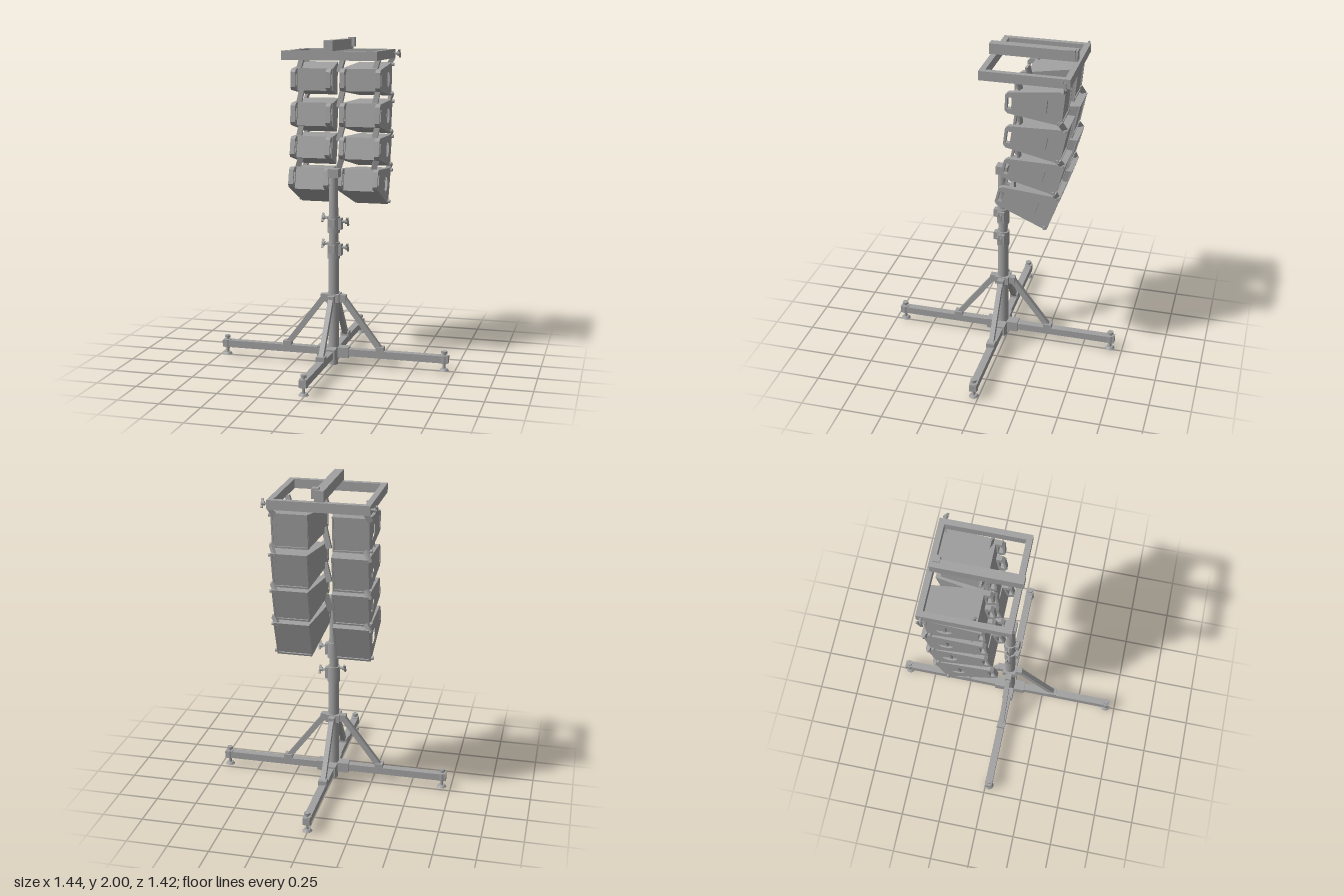
import * as THREE from 'three';

const metal = new THREE.MeshStandardMaterial({ color: 0xa0a0a0 });
metal.name = 'grey metal';

function add(parent, name, geo, x = 0, y = 0, z = 0) {
  const m = new THREE.Mesh(geo, metal);
  m.name = name;
  m.position.set(x, y, z);
  parent.add(m);
  return m;
}
// Box given by its minimum and maximum corners
function span(parent, name, a, b) {
  return add(parent, name, new THREE.BoxGeometry(b[0] - a[0], b[1] - a[1], b[2] - a[2]),
    (a[0] + b[0]) / 2, (a[1] + b[1]) / 2, (a[2] + b[2]) / 2);
}
const cyl = (r, h, n = 12, r2 = r) => new THREE.CylinderGeometry(r, r2, h, n);

// Square bar between two points
function bar(parent, name, a, b, w, d) {
  const p = new THREE.Vector3(...a), q = new THREE.Vector3(...b);
  const m = add(parent, name, new THREE.BoxGeometry(w, d, p.distanceTo(q)));
  m.position.copy(p).add(q).multiplyScalar(0.5);
  m.lookAt(q);
  return m;
}

// Wing knob on a short screw pointing along +x or -x
function knob(parent, x, y, z, side) {
  const g = new THREE.Group();
  g.name = 'clampKnob';
  add(g, 'screw', cyl(0.008, 0.05, 8).rotateZ(Math.PI / 2), 0.015);
  add(g, 'knobHub', cyl(0.014, 0.016, 8).rotateZ(Math.PI / 2), 0.035);
  add(g, 'knobWing', new THREE.BoxGeometry(0.012, 0.055, 0.012), 0.042).rotation.x = 0.5;
  g.position.set(x, y, z);
  if (side < 0) g.rotation.y = Math.PI;
  parent.add(g);
}

// Cabinet side profiles as [z, y]: back top, back bottom, mouth bottom, mouth top
const CABINETS = [
  [[-0.058, 1.81], [-0.053, 1.687], [-0.376, 1.64], [-0.395, 1.845]],
  [[-0.058, 1.605], [-0.042, 1.475], [-0.37, 1.405], [-0.413, 1.615]],
  [[-0.053, 1.4], [-0.026, 1.28], [-0.35, 1.2], [-0.403, 1.395]],
  [[-0.02, 1.215], [0.01, 1.1], [-0.3, 0.965], [-0.376, 1.185]],
];
// Point in a profile: s runs from back to mouth, t from bottom to top
function at([rt, rb, fb, ft], s, t) {
  const mix = (i) => (rb[i] * (1 - t) + rt[i] * t) * (1 - s) + (fb[i] * (1 - t) + ft[i] * t) * s;
  return [mix(0), mix(1)];
}

// Box bent into a profile region; inner wall flares towards the mouth
function wedge(quad, side, s0, s1, t0, t1, outer, inner) {
  const geo = new THREE.BoxGeometry(1, 1, 1).toNonIndexed();
  const p = geo.attributes.position;
  for (let i = 0; i < p.count; i++) {
    const s = p.getZ(i) < 0 ? s1 : s0;
    const [z, y] = at(quad, s, p.getY(i) > 0 ? t1 : t0);
    const isOuter = p.getX(i) * side > 0;
    p.setXYZ(i, side * (isOuter ? outer : inner(s)), y, z);
  }
  geo.computeVertexNormals();
  return geo;
}

// Upright plate following part of a profile, with a hand slot and optional port
function plate(quad, s1, thick, port) {
  const pts = [[0, 0.12], [0.05, 0], [s1, 0], [s1, 1], [0.05, 1], [0, 0.88]];
  const vec = ([s, t]) => new THREE.Vector2(...at(quad, s, t));
  const shape = new THREE.Shape(pts.map(vec));
  shape.holes.push(new THREE.Path([[0.04, 0.22], [0.04, 0.75], [0.115, 0.75], [0.115, 0.22]].map(vec)));
  if (port) {
    const c = vec([0.7, 0.5]);
    const hole = new THREE.Path();
    hole.absarc(c.x, c.y, 0.046, 0, Math.PI * 2, true);
    shape.holes.push(hole);
  }
  return new THREE.ExtrudeGeometry(shape, { depth: thick, bevelEnabled: false, curveSegments: 8 })
    .rotateY(-Math.PI / 2);
}

function buildCabinet(quad) {
  const g = new THREE.Group();
  g.name = 'speakerCabinet';
  const inner = (s) => 0.025 + 0.045 * Math.max(0, (s - 0.3) / 0.7);
  for (const side of [-1, 1]) {
    add(g, 'cabinetHalf', wedge(quad, side, 0.15, 0.985, 0, 1, 0.25, inner));
    // Front grille with a raised rim
    add(g, 'grille', wedge(quad, side, 0.985, 0.995, 0.05, 0.95, 0.27, () => 0.08));
    for (const [t0, t1] of [[0, 0.05], [0.95, 1]])
      add(g, 'grilleRim', wedge(quad, side, 0.985, 1.015, t0, t1, 0.28, () => 0.07));
    for (const [o, i] of [[0.28, 0.27], [0.08, 0.07]])
      add(g, 'grilleRim', wedge(quad, side, 0.985, 1.015, 0.05, 0.95, o, () => i));
    // Outer side plate, inner back plate
    add(g, 'sidePlate', plate(quad, 1, 0.03, true), side > 0 ? 0.28 : -0.25);
    add(g, 'innerPlate', plate(quad, 0.16, 0.03, false), side > 0 ? 0.058 : -0.028);
    // Grip bar across the round port
    const a = at(quad, 0.7, 0.27), b = at(quad, 0.7, 0.73);
    bar(g, 'portGrip', [side * 0.262, a[1], a[0]], [side * 0.262, b[1], b[0]], 0.022, 0.014);
    // Rigging pins on the mouth edge
    for (const t of [0.06, 0.94]) {
      const [z, y] = at(quad, 0.97, t);
      add(g, 'riggingPin', cyl(0.011, 0.03, 8).rotateZ(Math.PI / 2), side * 0.28, y, z);
    }
  }
  return g;
}

function buildArray() {
  const g = new THREE.Group();
  g.name = 'speakerArray';
  g.position.x = -0.015;
  CABINETS.forEach((quad, i) => {
    g.add(buildCabinet(quad));
    // Links joining this cabinet to the part above it
    const up = i ? at(CABINETS[i - 1], 0.24, 0.2) : [-0.125, 1.88];
    const low = at(quad, 0.24, 0.8);
    for (const x of [-0.24, 0.02, 0.24])
      bar(g, 'backLink', [x, low[1], low[0]], [x, up[1], up[0]], x === 0.02 ? 0.015 : 0.012, 0.035);
    const front = i ? at(CABINETS[i - 1], 0.99, 0.1) : [-0.4, 1.88];
    const mouth = at(quad, 0.99, 0.9);
    for (const x of [-0.272, 0.272])
      bar(g, 'frontLink', [x, mouth[1], mouth[0]], [x, front[1], front[0]], 0.016, 0.03);
  });
  return g;
}

function buildFlyFrame() {
  const g = new THREE.Group();
  g.name = 'flyFrame';
  const y0 = 1.872, y1 = 1.927, x0 = -0.306, x1 = 0.279, z0 = -0.428, z1 = 0.094, w = 0.034;
  span(g, 'frameSide', [x0, y0, z0], [x0 + w, y1, z1]);
  span(g, 'frameSide', [x1 - w, y0, z0], [x1, y1, z1]);
  span(g, 'frameEnd', [x0 + w, y0, z0], [x1 - w, y1, z0 + w]);
  span(g, 'frameEnd', [x0 + w, y0, z1 - w], [x1 - w, y1, z1]);
  span(g, 'centreBeam', [-0.042, y1, -0.412], [0.012, 1.99, 0.104]);
  span(g, 'beamLug', [-0.01, 1.94, -0.4], [0.03, 2, -0.36]);
  knob(g, x0 + 0.01, 1.9, -0.4, -1);
  knob(g, x1 - 0.01, 1.9, -0.4, 1);
  return g;
}

function buildLeg(length) {
  const g = new THREE.Group();
  g.name = 'standLeg';
  span(g, 'legBeam', [0.03, 0.062, -0.022], [length, 0.106, 0.022]);
  span(g, 'hubClamp', [0.03, 0.052, -0.032], [0.1, 0.116, 0.032]);
  bar(g, 'brace', [0.06, 0.425, 0], [0.305, 0.1, 0], 0.03, 0.034);
  span(g, 'braceHinge', [0.03, 0.4, -0.02], [0.08, 0.445, 0.02]);
  span(g, 'braceFoot', [0.27, 0.1, -0.026], [0.32, 0.132, 0.026]);
  // Levelling foot
  const x = length - 0.027;
  add(g, 'footPad', cyl(0.02, 0.014, 14, 0.03), x, 0.019, 0);
  add(g, 'footScrew', cyl(0.009, 0.1, 8), x, 0.075, 0);
  add(g, 'footKnob', cyl(0.019, 0.014, 8), x, 0.127, 0);
  add(g, 'footCollar', cyl(0.026, 0.05, 10), x, 0.084, 0);
  return g;
}

function buildStand() {
  const g = new THREE.Group();
  g.name = 'stand';
  g.position.z = 0.025;
  // Four crossed legs
  [0.718, 0.727, 0.722, 0.69].forEach((length, i) => {
    const leg = buildLeg(length);
    leg.rotation.y = i * Math.PI / 2;
    g.add(leg);
  });
  // Telescoping mast
  add(g, 'mastFoot', cyl(0.026, 0.08, 14), 0, 0.04, 0);
  add(g, 'lowerMast', cyl(0.033, 0.65, 16), 0, 0.365, 0);
  add(g, 'middleMast', cyl(0.028, 0.3, 16), 0, 0.78, 0);
  add(g, 'upperMast', cyl(0.025, 0.32, 16, 0.03), 0, 1.05, 0.004);
  span(g, 'braceCollar', [-0.042, 0.4, -0.042], [0.042, 0.45, 0.042]);
  span(g, 'mastHead', [-0.028, 1.17, -0.035], [0.036, 1.222, 0.038]);
  // Clamp collars with knobs
  for (const y of [0.67, 0.83]) {
    add(g, 'mastClamp', cyl(0.039, 0.1, 14), 0, y + 0.05, 0);
    span(g, 'clampLug', [0, y + 0.02, -0.02], [0.052, y + 0.09, 0.02]);
    span(g, 'clampBlock', [-0.02, y + 0.04, 0.02], [0.02, y + 0.09, 0.055]);
    knob(g, 0.045, y + 0.07, 0, 1);
    knob(g, -0.028, y + 0.09, 0, -1);
  }
  return g;
}

export function createModel() {
  const model = new THREE.Group();
  model.name = 'speakerTower';
  model.add(buildStand(), buildArray(), buildFlyFrame());
  return model;
}
